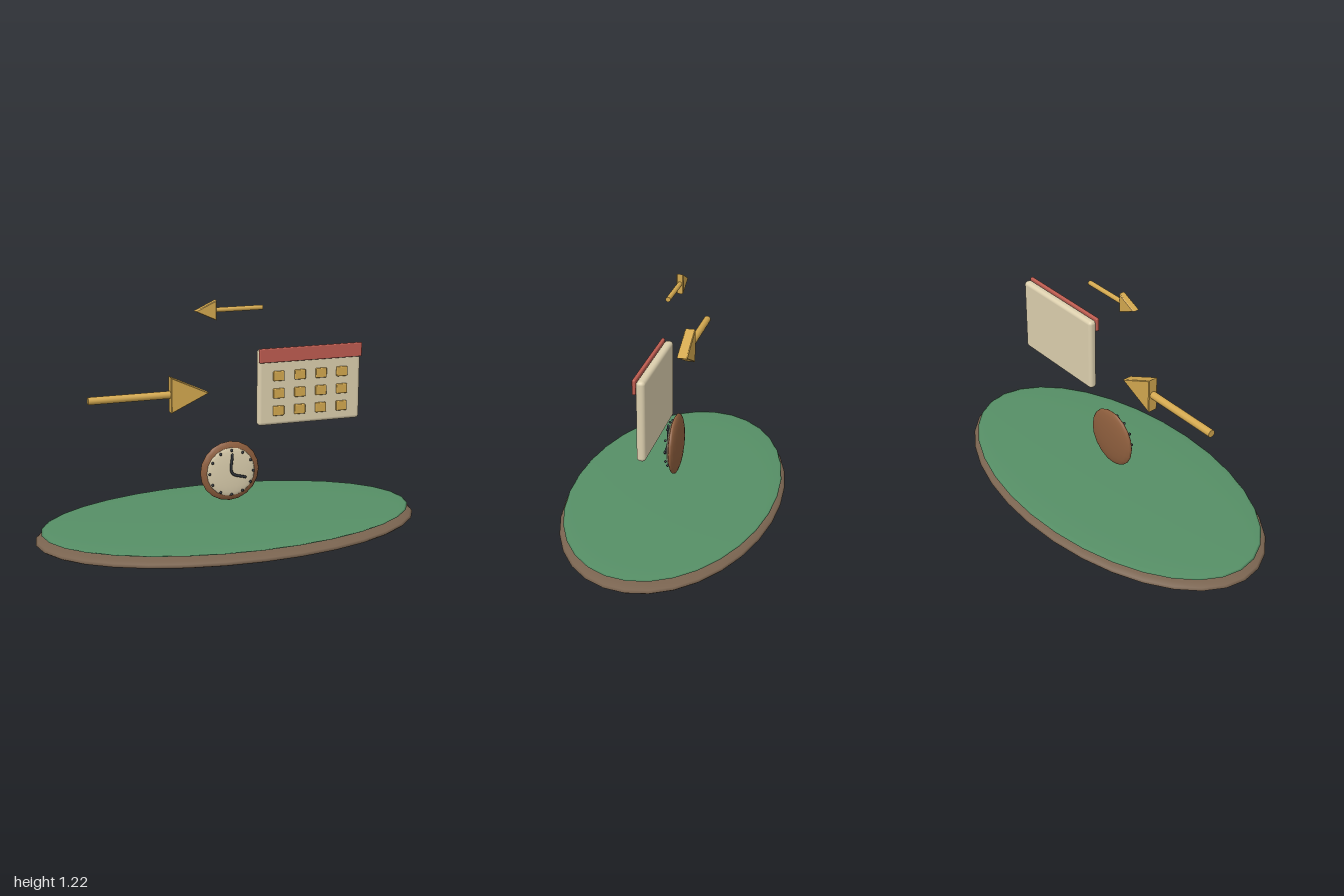
import * as THREE from 'three';
import { RoundedBoxGeometry } from 'three/addons/geometries/RoundedBoxGeometry.js';

const paint = (color) => new THREE.MeshStandardMaterial({ color });
const wood = paint(0x7a6450), rimBrown = paint(0x8f5f3e), green = paint(0x568f66);
const gold = paint(0xd3a84f), cream = paint(0xdccfae), red = paint(0xbe5c50), dark = paint(0x2c3036);

function add(parent, name, geometry, material, x = 0, y = 0, z = 0) {
  const mesh = new THREE.Mesh(geometry, material);
  mesh.name = name;
  mesh.position.set(x, y, z);
  parent.add(mesh);
  return mesh;
}

function section(parent, name, x, y, z = 0) {
  const group = new THREE.Group();
  group.name = name;
  group.position.set(x, y, z);
  parent.add(group);
  return group;
}

function ellipsoid(rx, ry, rz, around, rings) {
  return new THREE.SphereGeometry(1, around, rings).scale(rx, ry, rz);
}

// Arrow pointing along +x, with its tip at the group's origin
function arrow(parent, name, x, y, length, headLength, halfHeight, halfDepth, shaftRadius) {
  const group = section(parent, name, x, y);
  const bevel = 0.004;
  const shape = new THREE.Shape();
  shape.moveTo(-bevel * 2, 0);
  shape.lineTo(-headLength + bevel, halfHeight - bevel * 1.6);
  shape.lineTo(-headLength + bevel, -halfHeight + bevel * 1.6);
  shape.closePath();
  const head = new THREE.ExtrudeGeometry(shape, {
    depth: 2 * (halfDepth - bevel), bevelThickness: bevel, bevelSize: bevel, bevelSegments: 1,
  });
  head.translate(0, 0, -halfDepth + bevel);
  add(group, name + 'Head', head, gold);
  const shaftLength = length - headLength + 0.01;
  const shaft = new THREE.CylinderGeometry(shaftRadius, shaftRadius, shaftLength, 16).rotateZ(Math.PI / 2);
  add(group, name + 'Shaft', shaft, gold, -length + shaftLength / 2);
  return group;
}

export function createModel() {
  const model = new THREE.Group();
  model.name = 'timeDisplay';

  // Oval base with a green top
  const base = section(model, 'base', 0, 0);
  add(base, 'baseBody', ellipsoid(1, 0.057, 0.545, 32, 20), wood, 0, 0.06);
  add(base, 'baseTop', ellipsoid(0.97, 0.016, 0.527, 32, 20), green, 0, 0.105);

  // Clock: rim, dial, hour dots and a bent pair of hands
  const clock = section(model, 'clock', 0, 0.345);
  add(clock, 'clockRim', ellipsoid(0.156, 0.156, 0.027, 20, 10), rimBrown);
  add(clock, 'clockDial', ellipsoid(0.127, 0.127, 0.012, 20, 10), cream, 0, 0, 0.019);
  const dot = new THREE.SphereGeometry(0.007, 10, 8);
  for (let i = 0; i < 12; i++) {
    const a = (i * Math.PI) / 6;
    add(clock, 'hourDot', dot, dark, 0.116 * Math.sin(a), 0.116 * Math.cos(a), 0.033);
  }
  const handsPath = new THREE.CatmullRomCurve3([
    new THREE.Vector3(0, 0.095, 0.043),
    new THREE.Vector3(0, 0, 0.043),
    new THREE.Vector3(0.068, -0.027, 0.043),
  ]);
  add(clock, 'clockHands', new THREE.TubeGeometry(handsPath, 24, 0.007, 8), dark);
  for (const t of [0, 1]) {
    const end = handsPath.getPoint(t);
    add(clock, 'handEnd', dot, dark, end.x, end.y, end.z);
  }

  // Calendar: page, header and a grid of days
  const calendar = section(model, 'calendar', 0.422, 0.766);
  add(calendar, 'calendarPage', new RoundedBoxGeometry(0.553, 0.394, 0.043, 4, 0.018), cream);
  add(calendar, 'calendarHeader', new RoundedBoxGeometry(0.553, 0.073, 0.018, 2, 0.006), red, 0, 0.168, 0.029);
  const day = new RoundedBoxGeometry(0.058, 0.05, 0.018, 2, 0.005);
  for (let row = 0; row < 3; row++) {
    for (let col = 0; col < 4; col++) {
      add(calendar, 'calendarDay', day, gold, (col - 1.5) * 0.114, 0.06 - row * 0.09, 0.028);
    }
  }

  // Large arrow to +x, small arrow to -x
  arrow(model, 'largeArrow', -0.113, 0.766, 0.608, 0.197, 0.092, 0.027, 0.019);
  arrow(model, 'smallArrow', -0.182, 1.175, 0.352, 0.111, 0.052, 0.017, 0.012).rotation.y = Math.PI;

  return model;
}
